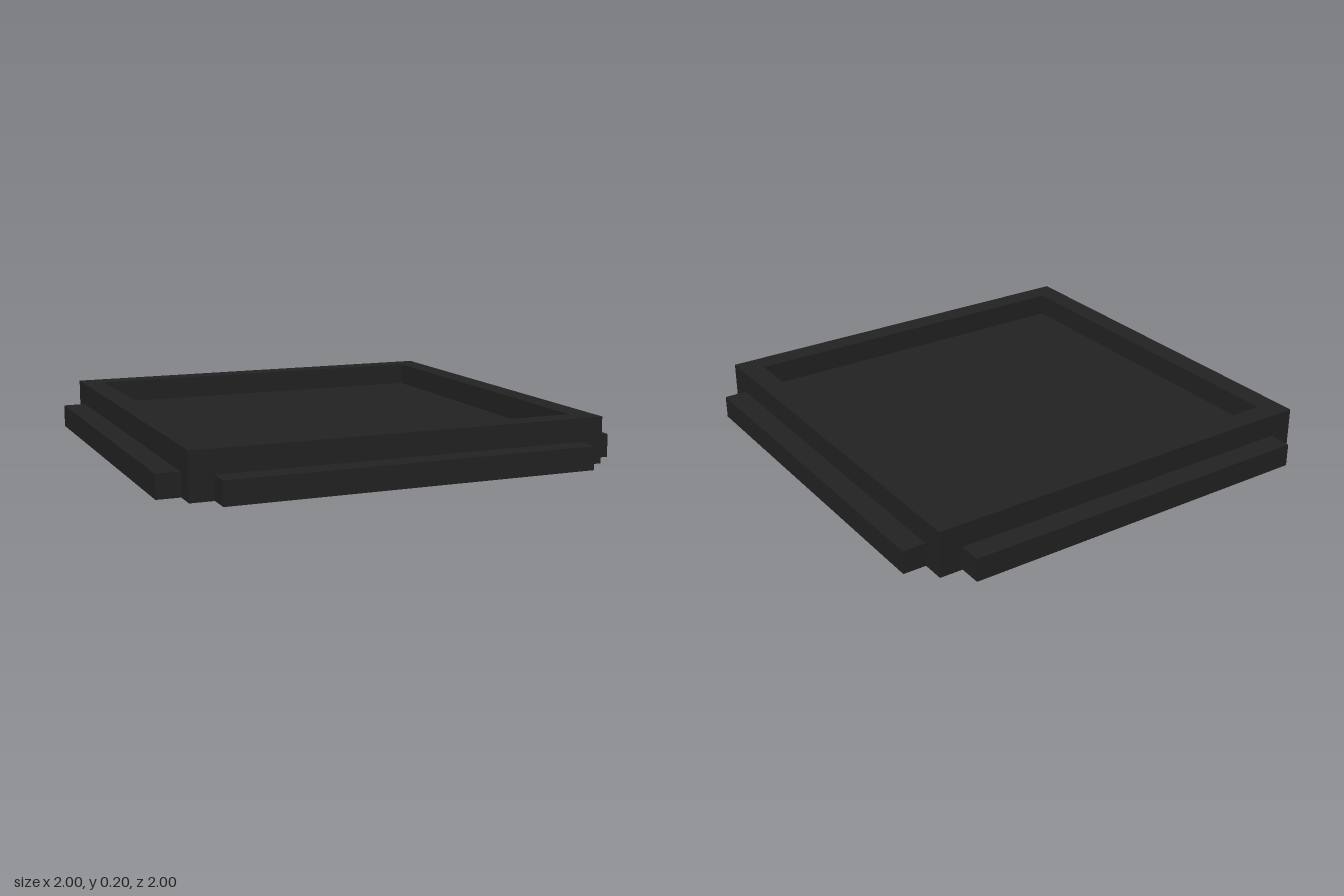
import * as THREE from 'three';

export function createModel() {
  const model = new THREE.Group();
  model.name = 'squareTray';
  const material = new THREE.MeshStandardMaterial({ color: 0x222222 });

  const add = (name, geometry, parent = model) => {
    const mesh = new THREE.Mesh(geometry, material);
    mesh.name = name;
    parent.add(mesh);
    return mesh;
  };

  // Square outline of a given half width
  const square = (Type, h) => new Type([[-h, -h], [h, -h], [h, h], [-h, h]].map(([x, y]) => new THREE.Vector2(x, y)));

  // Raised rim: a square frame, extruded upwards
  const frame = square(THREE.Shape, 0.9);
  frame.holes.push(square(THREE.Path, 0.8));
  const rim = new THREE.ExtrudeGeometry(frame, { depth: 0.2, bevelEnabled: false });
  add('rim', rim.rotateX(-Math.PI / 2));

  // Sunken floor panel inside the rim
  add('floor', new THREE.BoxGeometry(1.6, 0.1, 1.6)).position.y = 0.05;

  // Low ledge along each of the four sides
  const ledge = new THREE.BoxGeometry(1.6, 0.1, 0.1).translate(0, 0.05, 0.95);
  ['frontLedge', 'leftLedge', 'backLedge', 'rightLedge'].forEach((name, i) => {
    add(name, ledge).rotation.y = i * Math.PI / 2;
  });

  return model;
}
